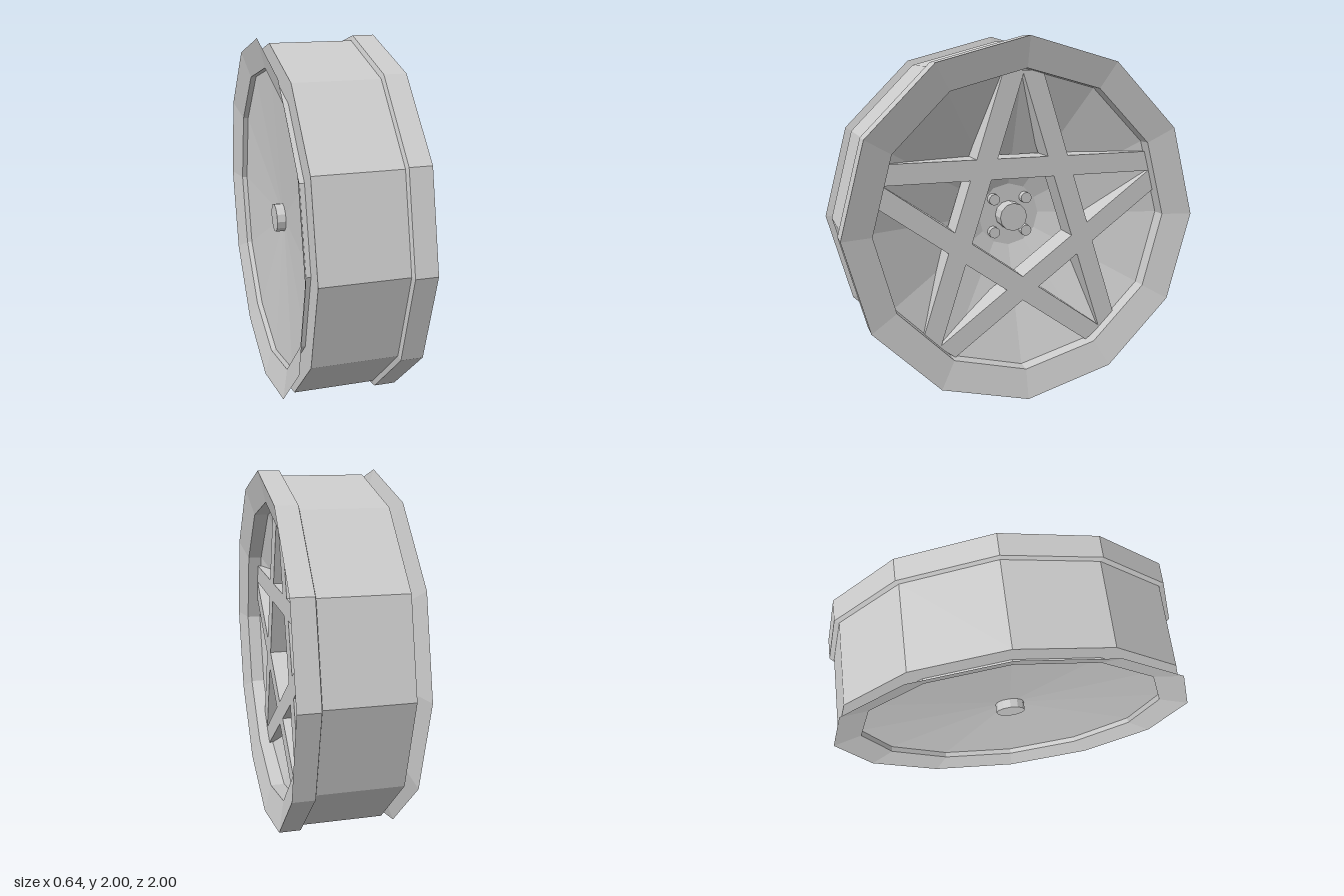
import * as THREE from 'three';

const material = new THREE.MeshStandardMaterial({ color: 0xcccccc, flatShading: true, side: THREE.DoubleSide });

function addMesh(parent, name, geometry) {
  const mesh = new THREE.Mesh(geometry, material);
  mesh.name = name;
  parent.add(mesh);
  return mesh;
}

// Cylinder along the x axis between two x positions
function axialCylinder(radius, x0, x1, sides) {
  const g = new THREE.CylinderGeometry(radius, radius, x1 - x0, sides);
  g.rotateZ(-Math.PI / 2);
  g.translate((x0 + x1) / 2, 0, 0);
  return g;
}

export function createModel() {
  const model = new THREE.Group();
  model.name = 'wheel';
  const wheel = new THREE.Group();
  wheel.name = 'wheelBody';
  wheel.position.y = 1;
  model.add(wheel);

  // Twelve-sided body: shallow back cone, flared flange, barrel, front rim and dished inside [radius, x]
  const profile = [
    [0, -0.19], [0.845, -0.25], [0.845, -0.28], [1, -0.32], [0.847, -0.279],
    [0.847, -0.255], [0.973, -0.255], [0.973, 0.195], [1, 0.203], [1, 0.32],
    [0.835, 0.28], [0.835, 0.2], [0.18, -0.02], [0, -0.02],
  ].map(([r, x]) => new THREE.Vector2(r, x));
  const body = new THREE.LatheGeometry(profile, 12);
  body.rotateZ(-Math.PI / 2);
  addMesh(wheel, 'rim', body);

  // Five crossing bars forming the star of spokes, running into the dish at their ends
  const front = 0.22, back = 0.07;
  const bar = new THREE.Shape([
    new THREE.Vector2(-0.783, 0.249), new THREE.Vector2(0.783, 0.249),
    new THREE.Vector2(0.75, 0.36), new THREE.Vector2(-0.75, 0.36),
  ]);
  const barGeometry = new THREE.ExtrudeGeometry(bar, { depth: front - back, bevelEnabled: false });
  barGeometry.translate(0, 0, back);
  barGeometry.rotateY(Math.PI / 2);
  const spokes = new THREE.Group();
  spokes.name = 'spokes';
  wheel.add(spokes);
  for (let i = 0; i < 5; i++) {
    addMesh(spokes, 'spokeBar', barGeometry).rotation.x = (i * 2 * Math.PI) / 5;
  }

  // Axle, showing as the hub cap in front and a stub behind
  addMesh(wheel, 'axle', axialCylinder(0.08, -0.245, 0.07, 12));

  // Four wheel nuts around the hub
  for (const y of [-0.096, 0.096]) {
    for (const z of [-0.096, 0.096]) {
      addMesh(wheel, 'wheelNut', axialCylinder(0.032, -0.04, 0.02, 12)).position.set(0, y, z);
    }
  }
  return model;
}
